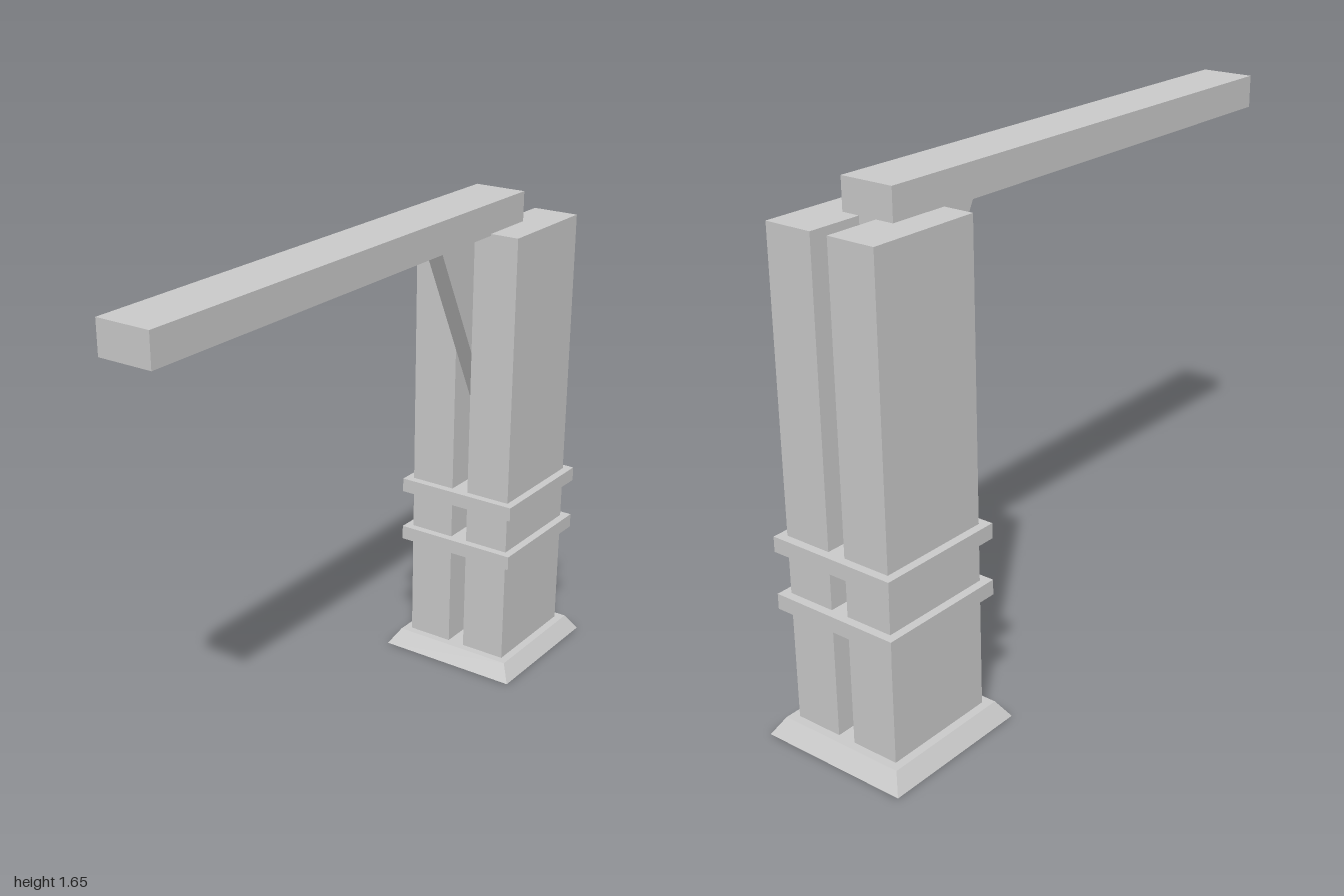
import * as THREE from 'three';

export function createModel() {
  const model = new THREE.Group();
  const material = new THREE.MeshStandardMaterial({ color: 0xcccccc, flatShading: true });
  const postX = 0.75;

  const add = (name, geometry, x, y, z) => {
    const mesh = new THREE.Mesh(geometry, material);
    mesh.name = name;
    mesh.position.set(x, y, z);
    model.add(mesh);
    return mesh;
  };
  const box = (name, w, h, d, x, y, z) => add(name, new THREE.BoxGeometry(w, h, d), x, y, z);

  // Square base with sloping sides
  const baseGeometry = new THREE.CylinderGeometry(0.215 * Math.SQRT2, 0.25 * Math.SQRT2, 0.055, 4);
  baseGeometry.rotateY(Math.PI / 4);
  add('base', baseGeometry, postX, 0.0275, 0);

  // Twin posts with a narrow gap between them
  for (const side of [1, -1]) {
    box(side > 0 ? 'frontPost' : 'backPost', 0.376, 1.545, 0.158, postX, 0.7765, side * 0.109);
  }

  // Bands tying the posts together
  box('lowerBand', 0.43, 0.048, 0.43, postX, 0.44, 0);
  box('upperBand', 0.43, 0.048, 0.43, postX, 0.621, 0);

  // Long horizontal arm
  box('beam', 1.76, 0.104, 0.178, -0.12, 1.595, 0);

  // Triangular brace held in the gap between the posts
  const braceShape = new THREE.Shape([
    new THREE.Vector2(0.36, 1.545),
    new THREE.Vector2(0.76, 0.75),
    new THREE.Vector2(0.76, 1.545),
  ]);
  add('brace', new THREE.ExtrudeGeometry(braceShape, { depth: 0.06, bevelEnabled: false }), 0, 0, -0.03);

  return model;
}
